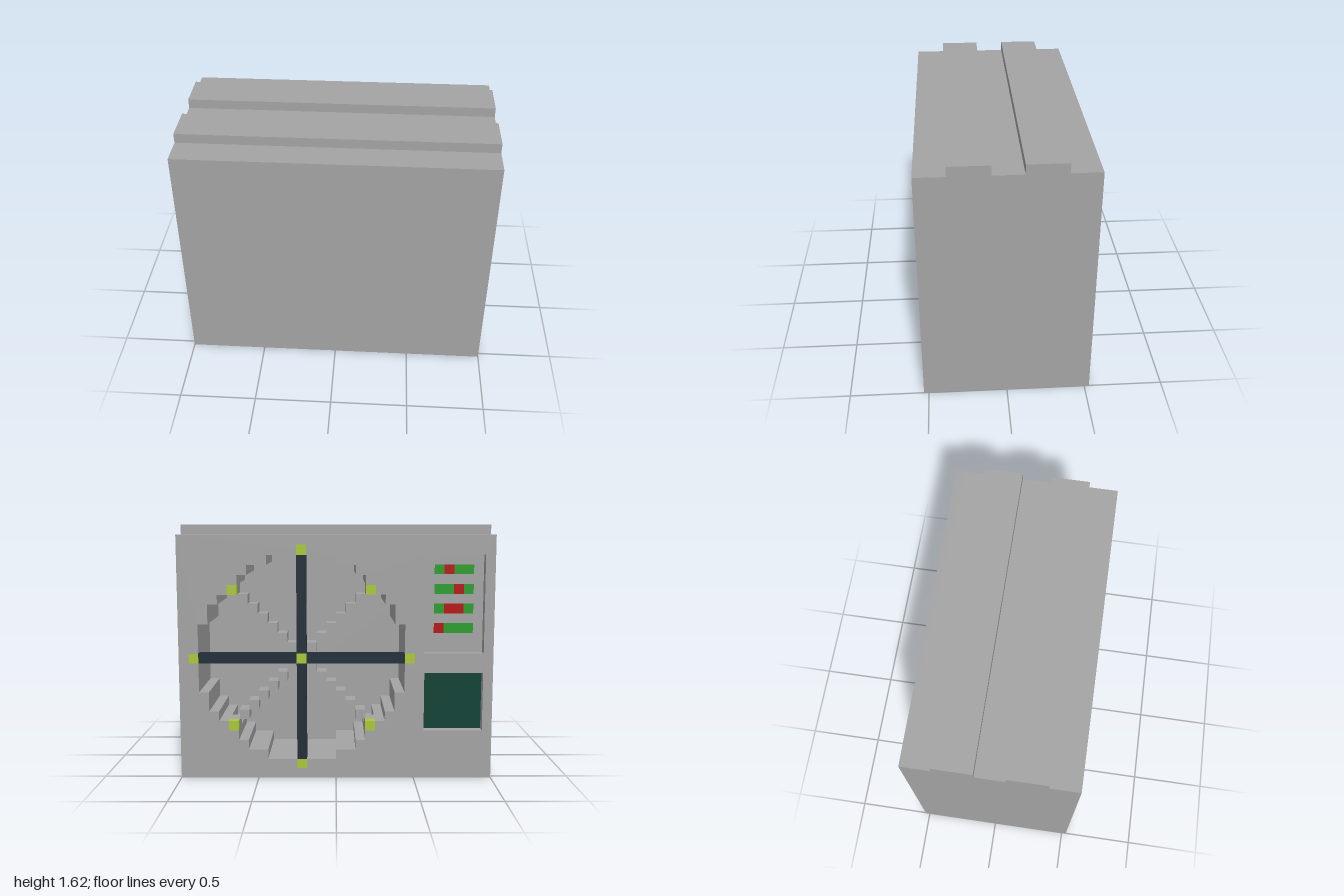
import * as THREE from 'three';

const U = 0.0625;              // one block
const W = 32, H = 25, D = 17;  // body size in blocks
const C = 12.5;                // fan centre, in blocks from the rear-left edge and from the floor

const colours = { casing: 0xa4a4a4, blade: 0x202d37, marker: 0xaac838, green: 0x2a9c2a, red: 0xb60c0c, screen: 0x0e4135 };
const mats = {};
for (const [name, color] of Object.entries(colours)) {
  mats[name] = new THREE.MeshStandardMaterial({ color });
  mats[name].name = name;
}

// block coordinates: u from the left side (+x), v from the floor, d inward from the back
const X = u => (W / 2 - u) * U;
const Z = d => (d - D / 2) * U;

export function createModel() {
  const model = new THREE.Group();
  model.name = 'fanUnit';

  function box(name, mat, u0, u1, v0, v1, d0, d1) {
    const mesh = new THREE.Mesh(new THREE.BoxGeometry((u1 - u0) * U, (v1 - v0) * U, (d1 - d0) * U), mats[mat]);
    mesh.position.set(X((u0 + u1) / 2), (v0 + v1) / 2 * U, Z((d0 + d1) / 2));
    mesh.name = name;
    model.add(mesh);
  }

  // outlines run counter-clockwise in x and y, so that hole walls face into the holes
  const outline = (T, pts) => new T(pts.map(([u, v]) => new THREE.Vector2(X(u), v * U)));
  const rect = (T, u0, u1, v0, v1) => outline(T, [[u1, v0], [u0, v0], [u0, v1], [u1, v1]]);

  // stepped round outline of the fan well
  function steppedDisc() {
    const rising = [], falling = [];
    for (let j = -10; j <= 10; j++) {
      const h = Math.floor(Math.sqrt(10.5 * 10.5 - j * j)) + 0.5;
      for (const s of [-0.5, 0.5]) {
        rising.push([C - h, C + j + s]);
        falling.unshift([C + h, C + j + s]);
      }
    }
    return outline(THREE.Path, [...rising, ...falling]);
  }

  // casing layers: pierced back plate, fan well, solid front
  function layer(name, d0, d1, holes) {
    const shape = rect(THREE.Shape, 0, W, 0, H);
    shape.holes.push(...holes);
    const geo = new THREE.ExtrudeGeometry(shape, { depth: (d1 - d0) * U, bevelEnabled: false });
    geo.translate(0, 0, Z(d0));
    const mesh = new THREE.Mesh(geo, mats.casing);
    mesh.name = name;
    model.add(mesh);
  }
  layer('backPlate', 0, 1, [steppedDisc(), rect(THREE.Path, 25, 31, 13, 23), rect(THREE.Path, 25, 31, 5, 11)]);
  layer('fanWell', 1, 8, [steppedDisc()]);
  box('frontBody', 'casing', 0, W, 0, H, 8, D);

  // top rails
  for (const d of [3, 10]) box('topRail', 'casing', 0, W, H, H + 1, d, d + 4);

  // dark cross blades
  const a = C - 0.5, b = C + 0.5;
  for (const [p, q] of [[2, a], [b, 23]]) {
    box('crossBlade', 'blade', p, q, a, b, 0, 1);
    box('crossBlade', 'blade', a, b, p, q, 0, 1);
  }

  // stepped diagonal blades with a marker at each tip
  for (const su of [-1, 1]) for (const sv of [-1, 1]) for (let i = 1; i <= 7; i++) {
    const u = a + su * i, v = a + sv * i;
    box('diagonalBlade', 'casing', u, u + 1, v, v + 1, 1, 3);
    if (i === 7) box('diagonalMarker', 'marker', u, u + 1, v, v + 1, 0, 1);
  }

  // hub and rim markers
  box('hub', 'marker', a, b, a, b, 0, 1);
  for (const [i, j] of [[11, 0], [-11, 0], [0, 11], [0, -11]])
    box('rimMarker', 'marker', a + i, b + i, a + j, b + j, -0.015, 0.06);

  // indicator rows: the red cells among green ones
  [[1], [2], [1, 2], [0]].forEach((reds, row) => {
    const v = 21 - row * 2;
    for (let k = 0; k < 4; k++) {
      const red = reds.includes(k);
      box(red ? 'redLight' : 'greenLight', red ? 'red' : 'green', 26 + k, 27 + k, v, v + 1, 0.985, 1.05);
    }
  });

  // recessed screen
  box('screen', 'screen', 25, 31, 5, 11, 0.985, 1.05);

  return model;
}
